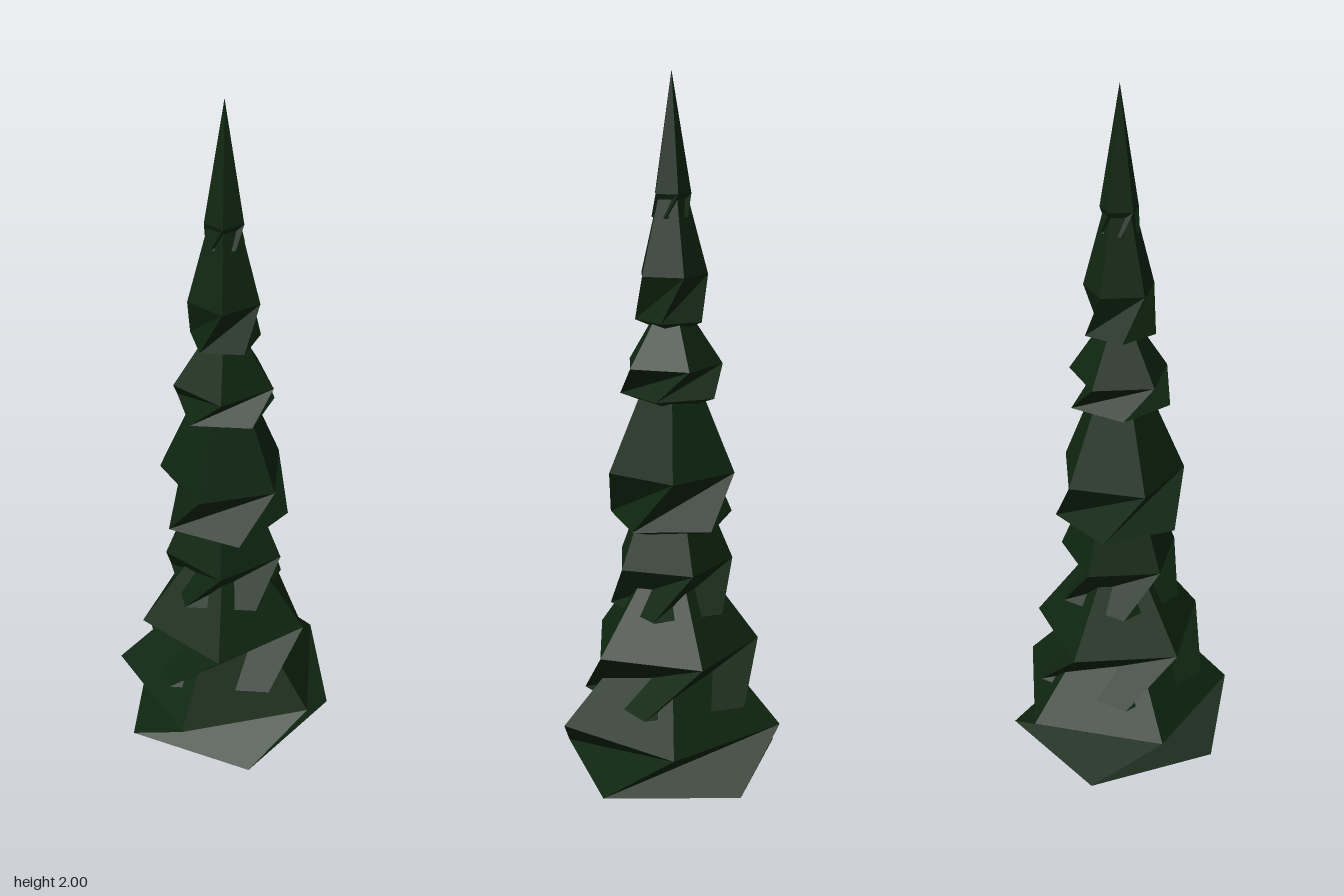
import * as THREE from 'three';

// One foliage tier: two five-sided rings, the upper one twisted, closed by a point below and above.
function tierGeometry({ bottom, low, high, top, radius, angle }) {
  const SIDES = 5;
  const TWIST = -36.8;
  const ring = (y, degrees) => Array.from({ length: SIDES }, (_, k) => {
    const a = THREE.MathUtils.degToRad(degrees + (k * 360) / SIDES);
    return [radius * Math.cos(a), y, radius * Math.sin(a)];
  });
  const lower = ring(low, angle);
  const upper = ring(high, angle + TWIST);
  const root = [0, bottom, 0];
  const tip = [0, top, 0];
  const points = [];
  for (let k = 0; k < SIDES; k++) {
    const n = (k + 1) % SIDES;
    points.push(lower[k], lower[n], root);      // underside
    points.push(lower[k], upper[k], lower[n]);  // twisted band, folded inward
    points.push(lower[n], upper[k], upper[n]);
    points.push(upper[k], tip, upper[n]);       // sloping top
  }
  const geometry = new THREE.BufferGeometry();
  geometry.setAttribute('position', new THREE.Float32BufferAttribute(points.flat(), 3));
  geometry.computeVertexNormals();
  return geometry;
}

export function createModel() {
  const tree = new THREE.Group();
  tree.name = 'coniferTree';

  const foliage = new THREE.MeshStandardMaterial({ color: 0x0f2610 });
  foliage.name = 'darkGreenFoliage';
  foliage.flatShading = true;

  // Tiers from the ground to the tip
  const tiers = [
    { bottom: 0.0, low: 0.09, high: 0.23, top: 0.59, radius: 0.317, angle: 30.4 },
    { bottom: 0.22, low: 0.305, high: 0.45, top: 0.79, radius: 0.245, angle: 11.8 },
    { bottom: 0.49, low: 0.56, high: 0.69, top: 1.1, radius: 0.17, angle: 11.8 },
    { bottom: 0.75, low: 0.81, high: 0.95, top: 1.37, radius: 0.178, angle: 30.4 },
    { bottom: 1.11, low: 1.16, high: 1.24, top: 1.45, radius: 0.138, angle: 11.8 },
    { bottom: 1.32, low: 1.36, high: 1.48, top: 1.84, radius: 0.097, angle: 11.8 },
    { bottom: 1.6, low: 1.63, high: 1.69, top: 2.0, radius: 0.052, angle: 11.8 },
  ];
  tiers.forEach((tier, i) => {
    const mesh = new THREE.Mesh(tierGeometry(tier), foliage);
    mesh.name = `foliageTier${i + 1}`;
    tree.add(mesh);
  });
  return tree;
}
